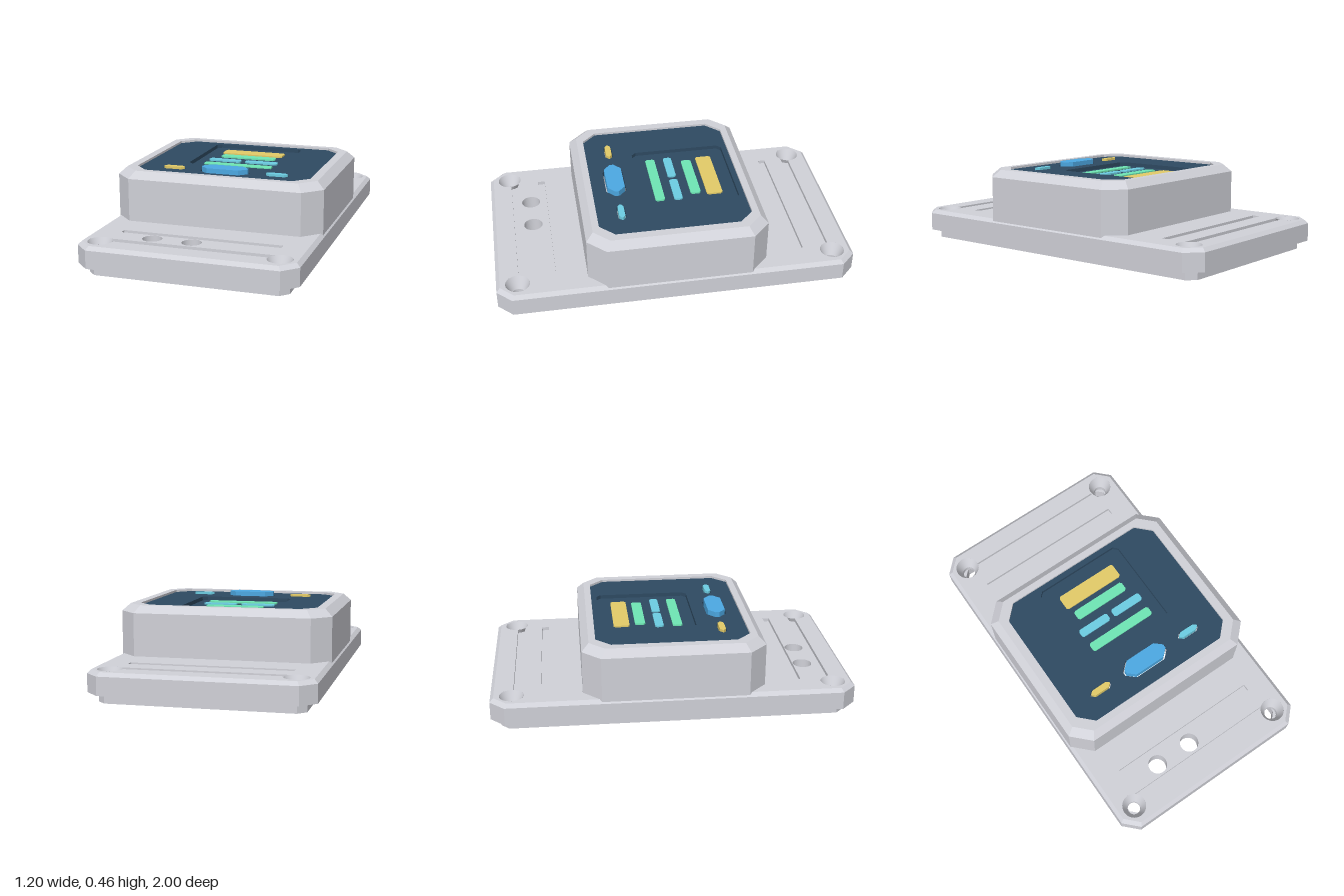
import * as THREE from 'three';

const mat = (name, color, side = THREE.FrontSide) => {
  const m = new THREE.MeshStandardMaterial({ color, side });
  m.name = name;
  return m;
};

// Chamfered rectangle in the x-z plane: half sizes, chamfer, centre
function octagon(w, d, cx, cz = cx, x0 = 0, z0 = 0) {
  return [
    [w - cx, -d], [w, -d + cz], [w, d - cz], [w - cx, d],
    [-w + cx, d], [-w, d - cz], [-w, -d + cz], [-w + cx, -d],
  ].map(([x, z]) => new THREE.Vector2(x + x0, z + z0));
}

const circle = (x, z, r) => new THREE.Path().absarc(x, z, r, 0, Math.PI * 2);

// Outer groove that runs into the screw recess at each end
function grooveBetweenScrews(gz, h, cx, cz, r) {
  const lo = Math.asin((gz - h - cz) / r), hi = Math.asin((gz + h - cz) / r);
  return new THREE.Path()
    .absarc(cx, cz, r, Math.PI - lo, 3 * Math.PI - hi)
    .absarc(-cx, cz, r, hi, lo + 2 * Math.PI);
}

// Horizontal slab from y0 to y1 with holes (points or paths)
function slab(name, material, outline, y0, y1, holes = []) {
  const shape = new THREE.Shape(outline);
  shape.holes = holes.map((h) => (Array.isArray(h) ? new THREE.Path(h) : h));
  const geo = new THREE.ExtrudeGeometry(shape, { depth: y1 - y0, bevelEnabled: false, curveSegments: 32 });
  geo.rotateX(Math.PI / 2).translate(0, y1, 0);
  const mesh = new THREE.Mesh(geo, material);
  mesh.name = name;
  return mesh;
}

// Sloping band between two outlines with equal point counts
function bevel(name, material, low, y0, high, y1) {
  const pos = [];
  low.forEach((a, i) => {
    const j = (i + 1) % low.length, b = low[j], c = high[j], d = high[i];
    pos.push(a.x, y0, a.y, c.x, y1, c.y, b.x, y0, b.y);
    pos.push(a.x, y0, a.y, d.x, y1, d.y, c.x, y1, c.y);
  });
  const geo = new THREE.BufferGeometry();
  geo.setAttribute('position', new THREE.Float32BufferAttribute(pos, 3));
  geo.computeVertexNormals();
  const mesh = new THREE.Mesh(geo, material);
  mesh.name = name;
  return mesh;
}

export function createModel() {
  const model = new THREE.Group();
  model.name = 'controlUnit';
  const grey = mat('casing grey', 0xd0d1d8, THREE.DoubleSide);
  const navy = mat('panel navy', 0x2e4a62);
  const blue = mat('button blue', 0x4ca8e2);
  const yellow = mat('display yellow', 0xe2cb68);
  const green = mat('display green', 0x6ee6b4);
  const teal = mat('display teal', 0x6ccde2);

  // Shared outlines
  const baseOuter = octagon(0.6, 1, 0.08);
  const deckOuter = octagon(0.58, 0.98, 0.072);
  const lipOuter = octagon(0.545, 0.945, 0.045);
  const lipInner = octagon(0.515, 0.915, 0.035);
  const boxOuter = octagon(0.592, 0.5, 0.1);
  const boxTop = octagon(0.55, 0.46, 0.085);
  const cavity = octagon(0.54, 0.445, 0.05);
  const panel = octagon(0.502, 0.422, 0.08);
  const screen = octagon(0.27, 0.27, 0.025, 0.025, 0, -0.12);

  // Base plate with lip, grooves, cable holes and countersunk screw holes
  const base = new THREE.Group();
  base.name = 'base';
  const sx = 0.488, sz = 0.883, recess = 0.067, bore = 0.036;
  const screws = [[sx, sz], [-sx, sz], [sx, -sz], [-sx, -sz]];
  const screwHoles = (r) => screws.map(([x, z]) => circle(x, z, r));
  const cables = [-0.243, -0.022].map((x) => circle(x, 0.766, 0.053));
  const grooves = [
    octagon(0.446, 0.021, 0.004, 0.004, 0, -0.705),
    octagon(0.446, 0.02, 0.004, 0.004, 0, 0.69),
  ];
  for (const s of [-1, 1]) grooves.push(grooveBetweenScrews(s * 0.853, 0.022, sx, s * sz, recess));
  base.add(
    slab('lowerLip', grey, lipOuter, 0, 0.07, [lipInner]),
    slab('baseRim', grey, baseOuter, 0.05, 0.07, [lipInner]),
    slab('basePlate', grey, baseOuter, 0.07, 0.1, [cavity, ...cables, ...screwHoles(bore)]),
    slab('upperPlate', grey, baseOuter, 0.1, 0.15, [cavity, ...cables, ...screwHoles(recess)]),
    slab('deck', grey, deckOuter, 0.15, 0.17, [cavity, ...cables, ...grooves]),
    bevel('deckBevel', grey, baseOuter, 0.15, deckOuter, 0.17),
  );
  for (const [x, z] of screws) {
    const sink = new THREE.Mesh(new THREE.CylinderGeometry(recess, bore, 0.07, 32, 1, true), grey);
    sink.name = 'screwCountersink';
    sink.position.set(x, 0.135, z);
    base.add(sink);
  }
  model.add(base);

  // Raised hollow housing with a thick ceiling
  const buttonHoles = [
    octagon(0.142, 0.057, 0.048, 0.044, 0, 0.285),
    octagon(0.068, 0.023, 0.022, 0.02, -0.3, 0.284),
    octagon(0.068, 0.023, 0.022, 0.02, 0.3, 0.284),
  ];
  const housing = new THREE.Group();
  housing.name = 'housing';
  housing.add(
    slab('housingWalls', grey, boxOuter, 0.15, 0.35, [cavity]),
    slab('housingCeiling', grey, boxOuter, 0.35, 0.41, buttonHoles),
    bevel('housingBevel', grey, boxOuter, 0.41, boxTop, 0.45),
    slab('housingRim', grey, boxTop, 0.435, 0.45, [panel]),
  );
  model.add(housing);

  // Face panel, sunken screen and the display board beneath it
  model.add(
    slab('facePanel', navy, panel, 0.41, 0.437, [screen, ...buttonHoles]),
    slab('screen', navy, screen, 0.41, 0.415),
    slab('displayBoard', navy, octagon(0.47, 0.3, 0.005, 0.005, 0, -0.13), 0.33, 0.35),
  );

  // Display bars: material, half width, half depth, x, z
  const bars = [
    [yellow, 0.185, 0.045, 0, -0.265],
    [green, 0.165, 0.029, 0, -0.159],
    [teal, 0.096, 0.024, -0.111, -0.053],
    [teal, 0.096, 0.024, 0.111, -0.053],
    [green, 0.202, 0.027, 0, 0.05],
  ];
  for (const [m, w, d, x, z] of bars) {
    model.add(slab('displayBar', m, octagon(w, d, 0.01, 0.01, x, z), 0.415, 0.424));
  }

  // Push buttons
  model.add(
    slab('mainButton', blue, octagon(0.133, 0.049, 0.042, 0.038, 0, 0.285), 0.415, 0.462),
    slab('rightButton', yellow, octagon(0.061, 0.017, 0.018, 0.014, -0.3, 0.284), 0.415, 0.449),
    slab('leftButton', teal, octagon(0.061, 0.017, 0.018, 0.014, 0.3, 0.284), 0.415, 0.449),
  );
  return model;
}
